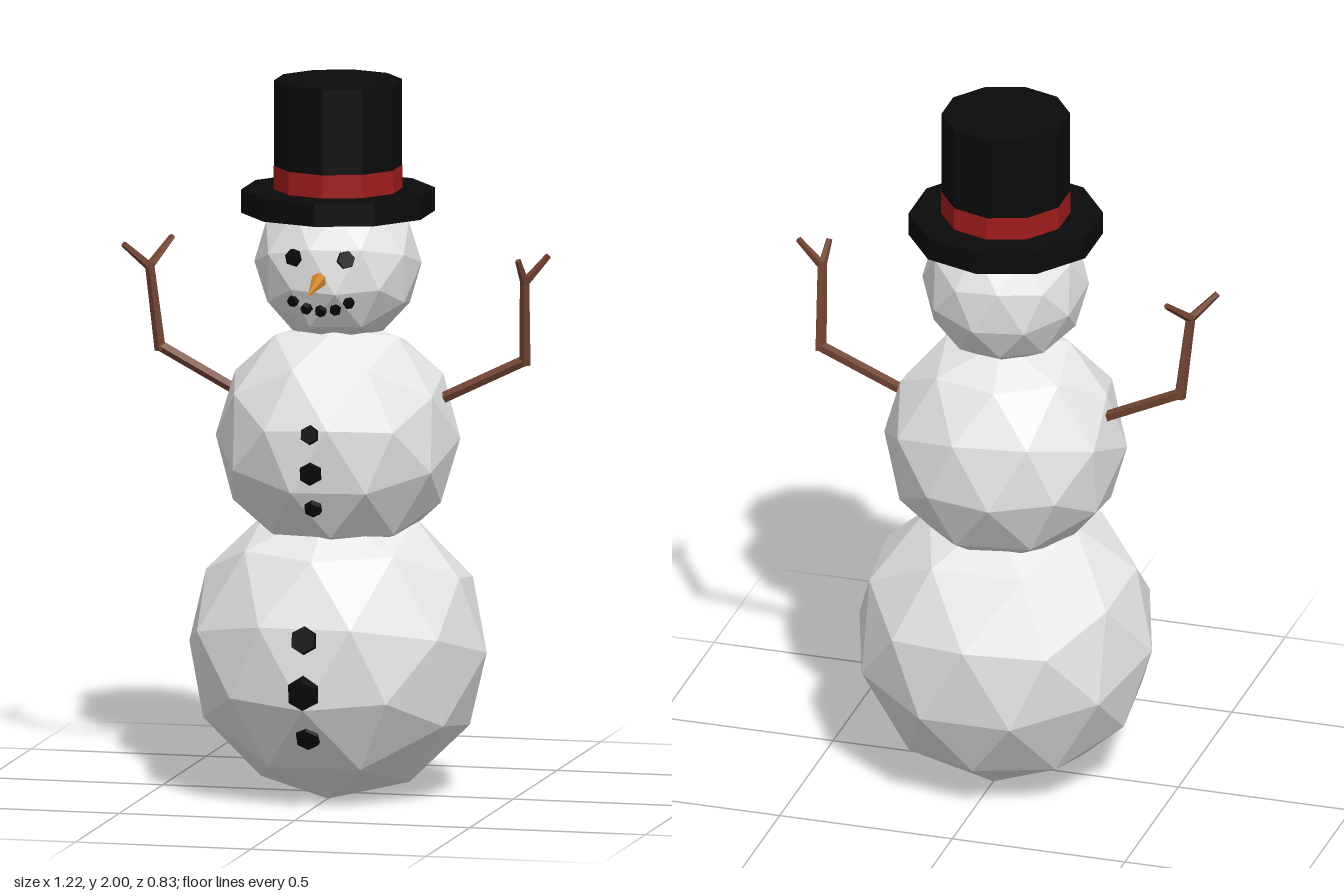
import * as THREE from 'three';

const mat = (name, color) => {
  const m = new THREE.MeshStandardMaterial({ color });
  m.name = name;
  return m;
};

// Split faces so every facet is flat
function flat(geo) {
  const g = geo.index ? geo.toNonIndexed() : geo;
  g.computeVertexNormals();
  return g;
}

export function createModel() {
  const snow = mat('snow', 0xe6e6e6);
  const black = mat('coal black', 0x0a0a0a);
  const red = mat('ribbon red', 0xa01c1c);
  const bark = mat('bark brown', 0x734432);
  const orange = mat('carrot orange', 0xd08530);

  const model = new THREE.Group();
  model.name = 'snowman';
  const UP = new THREE.Vector3(0, 1, 0);

  const add = (name, geo, material, parent = model) => {
    const mesh = new THREE.Mesh(flat(geo), material);
    mesh.name = name;
    parent.add(mesh);
    return mesh;
  };

  // Faceted snowballs, each turned a little differently
  const ball = (name, y, r, tilt, turn) => {
    const geo = new THREE.IcosahedronGeometry(r, 1);
    geo.rotateY(Math.PI / 2).rotateX(tilt).rotateY(turn);
    const mesh = add(name, geo, snow);
    mesh.position.y = y;
    mesh.updateMatrixWorld(true);
    return mesh;
  };
  const lowerBody = ball('lowerBody', 0.41, 0.424, 0.277, 0);
  const upperBody = ball('upperBody', 1.0, 0.34, -0.2, 0.15);
  const head = ball('head', 1.49, 0.232, 0.25, 0.2);

  // Six-sided coal pieces set into the front of a ball
  const ray = new THREE.Raycaster();
  const coal = (name, host, x, y, r) => {
    ray.set(new THREE.Vector3(x, y, 2), new THREE.Vector3(0, 0, -1));
    const p = ray.intersectObject(host)[0].point;
    const piece = add(name, new THREE.CylinderGeometry(r * 0.85, r, 0.028, 6), black);
    piece.position.copy(p);
    piece.quaternion.setFromUnitVectors(UP, p.clone().sub(host.position).normalize());
  };
  for (const [y, r] of [[0.49, 0.043], [0.34, 0.051], [0.21, 0.039]]) coal('lowerButton', lowerBody, 0, y, r);
  for (const [y, r] of [[1.055, 0.03], [0.945, 0.036], [0.845, 0.028]]) coal('upperButton', upperBody, 0, y, r);
  for (const s of [-1, 1]) {
    coal(s > 0 ? 'leftEye' : 'rightEye', head, s * 0.073, 1.53, 0.028);
    coal('mouthCoal', head, s * 0.077, 1.41, 0.018);
    coal('mouthCoal', head, s * 0.04, 1.39, 0.018);
  }
  coal('mouthCoal', head, 0, 1.385, 0.018);

  // Tapered rod between two points
  const rod = (name, a, b, r0, r1, sides, material, parent) => {
    const p = new THREE.Vector3(...a), q = new THREE.Vector3(...b);
    const d = q.clone().sub(p);
    const mesh = add(name, new THREE.CylinderGeometry(r1, r0, d.length(), sides), material, parent);
    mesh.position.copy(p).add(q).multiplyScalar(0.5);
    mesh.quaternion.setFromUnitVectors(UP, d.normalize());
  };

  // Carrot nose
  rod('nose', [0, 1.477, 0.19], [0, 1.447, 0.345], 0.027, 0.001, 6, orange);

  // Twig arms: shoulder, elbow, wrist and two finger tips
  const arm = (name, shoulder, elbow, wrist, tips) => {
    const g = new THREE.Group();
    g.name = name;
    model.add(g);
    rod('lowerTwig', shoulder, elbow, 0.016, 0.016, 5, bark, g);
    rod('upperTwig', [elbow[0], elbow[1] - 0.012, elbow[2]], wrist, 0.017, 0.014, 5, bark, g);
    for (const t of tips) rod('fingerTwig', [wrist[0], wrist[1] - 0.012, wrist[2]], t, 0.013, 0.009, 5, bark, g);
  };
  arm('leftArm', [0.26, 1.1, -0.012], [0.525, 1.228, -0.037], [0.535, 1.465, 0.008],
    [[0.6, 1.53, -0.003], [0.525, 1.52, 0.045]]);
  arm('rightArm', [-0.26, 1.1, -0.012], [-0.515, 1.228, -0.037], [-0.54, 1.465, -0.012],
    [[-0.605, 1.52, 0.028], [-0.497, 1.525, -0.1]]);

  // Ten-sided top hat
  const hat = new THREE.Group();
  hat.name = 'topHat';
  model.add(hat);
  const disc = (name, r, y0, y1, material) => {
    add(name, new THREE.CylinderGeometry(r, r, y1 - y0, 10), material, hat).position.y = (y0 + y1) / 2;
  };
  disc('hatBrim', 0.269, 1.63, 1.695, black);
  disc('hatBand', 0.179, 1.69, 1.76, red);
  disc('hatCrown', 0.178, 1.76, 2.0, black);

  return model;
}
